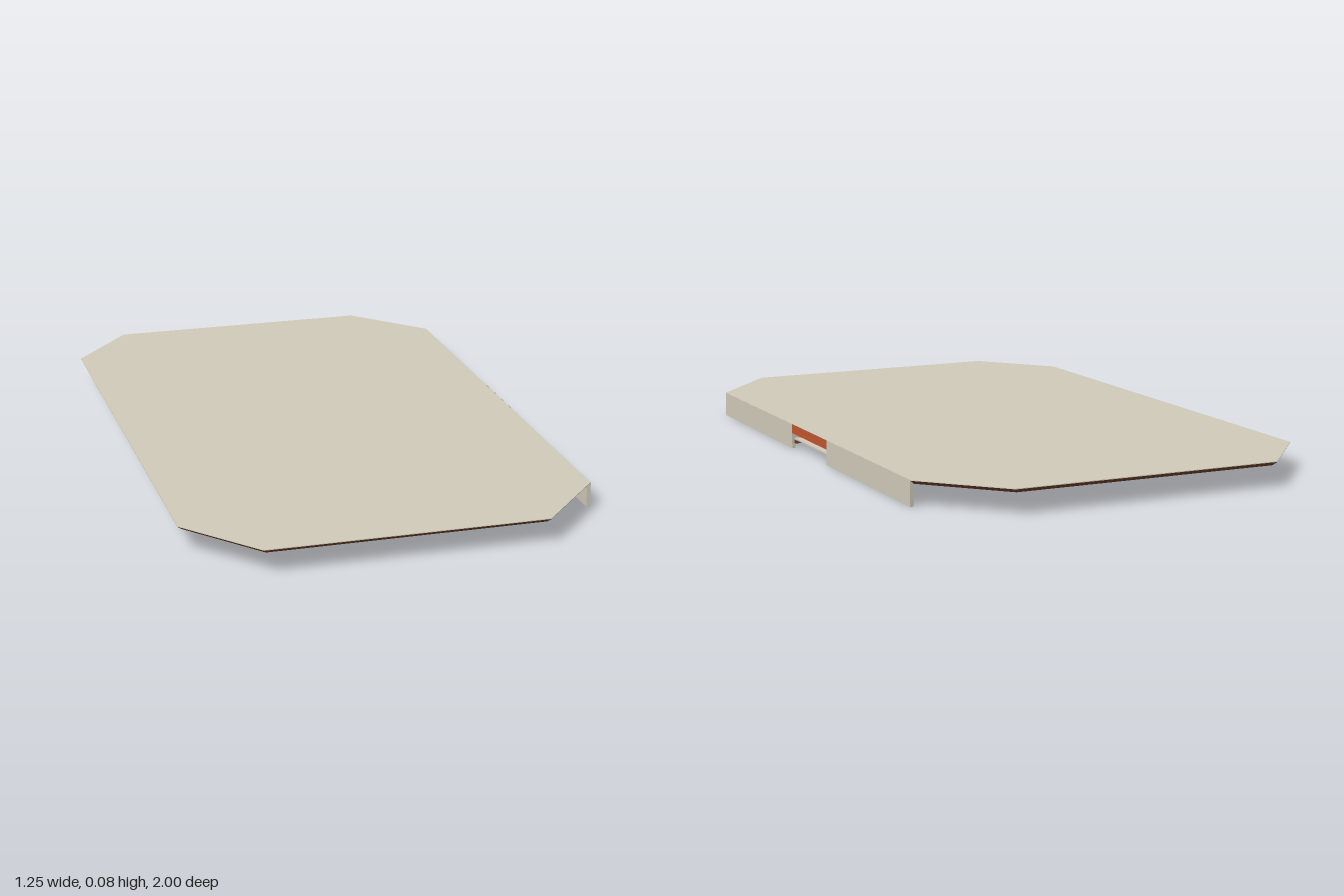
import * as THREE from 'three';

// Panel outline as [x, z], counter-clockwise seen from above
const OUTLINE = [
  [0.622, 0.77], [0.622, -0.775], [0.41, -1], [-0.43, -1],
  [-0.622, -0.775], [-0.622, 0.77], [-0.43, 1], [0.41, 1],
];

// Outline moved inwards by scaling each axis
const ring = (inset, y) => OUTLINE.map(([x, z]) => [x * (1 - inset / 0.622), y, z * (1 - inset)]);

// Flat face over a ring, facing up or down
function cap(points, up) {
  const pos = [];
  for (let i = 1; i < points.length - 1; i++) {
    const [b, c] = up ? [points[i], points[i + 1]] : [points[i + 1], points[i]];
    pos.push(...points[0], ...b, ...c);
  }
  return toGeometry(pos);
}

// Band joining an upper ring to a lower ring, facing outwards
function band(top, bottom) {
  const pos = [];
  top.forEach((a, i) => {
    const j = (i + 1) % top.length;
    pos.push(...a, ...bottom[i], ...bottom[j], ...a, ...bottom[j], ...top[j]);
  });
  return toGeometry(pos);
}

function toGeometry(pos) {
  const geometry = new THREE.BufferGeometry();
  geometry.setAttribute('position', new THREE.Float32BufferAttribute(pos, 3));
  geometry.computeVertexNormals();
  return geometry;
}

export function createModel() {
  const model = new THREE.Group();
  model.name = 'panel';
  const beige = new THREE.MeshStandardMaterial({ name: 'beige paint', color: 0xd1cbba });
  const rust = new THREE.MeshStandardMaterial({ name: 'rust orange', color: 0xc0562e });
  const brown = new THREE.MeshStandardMaterial({ name: 'dark brown', color: 0x74432f });

  const add = (name, geometry, material) => {
    const mesh = new THREE.Mesh(geometry, material);
    mesh.name = name;
    model.add(mesh);
  };
  const box = (name, material, [x0, x1], [y0, y1], [z0, z1]) => {
    const geometry = new THREE.BoxGeometry(x1 - x0, y1 - y0, z1 - z0);
    geometry.translate((x0 + x1) / 2, (y0 + y1) / 2, (z0 + z1) / 2);
    add(name, geometry, material);
  };

  // Thin eight-sided slab with a bevelled rim
  const upper = ring(0, 0.077), middle = ring(0, 0.075), lower = ring(0.012, 0.064);
  add('topFace', cap(upper, true), beige);
  add('topEdge', band(upper, middle), beige);
  add('bevelledRim', band(middle, lower), brown);
  add('underside', cap(lower, false), beige);

  // Skirt along the left edge, broken by a notch
  box('skirtFront', beige, [0.612, 0.623], [0, 0.0765], [0.145, 0.77]);
  box('skirtBack', beige, [0.612, 0.623], [0, 0.0765], [-0.77, -0.145]);
  box('notchStrip', rust, [0.612, 0.623], [0.048, 0.0765], [-0.145, 0.145]);

  // Latch tongue with folded-down side flanges
  box('tongue', beige, [0.49, 0.615], [0.027, 0.032], [-0.145, 0.145]);
  for (const side of [-1, 1]) {
    const z = side * 0.142;
    box('tongueFlange', brown, [0.49, 0.615], [0.015, 0.027], [z - 0.003, z + 0.003]);
  }
  return model;
}
